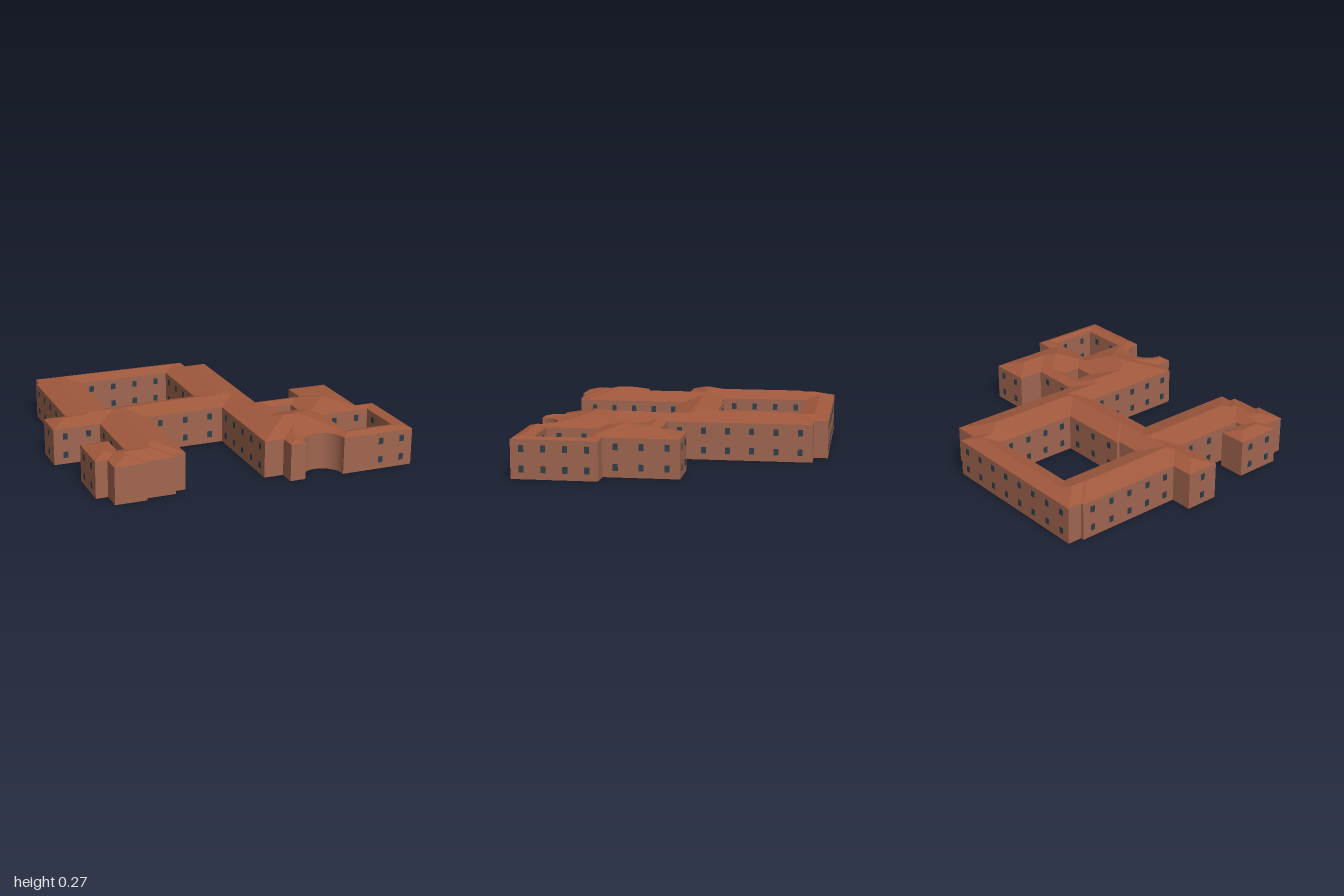
import * as THREE from 'three';
import { mergeGeometries, toCreasedNormals } from 'three/addons/utils/BufferGeometryUtils.js';

const EAVE = 0.21, PITCH = 0.3, TURN = -0.26;

// Footprint in the building's own square axes; walls run with the inside on the right.
const outline = [
  [-0.706, -0.846], [0.246, -0.846], [0.246, -0.767], [0.38, -0.767], [0.38, 0.035],
  [0.667, 0.035], [0.667, -0.113], [0.903, -0.113], [0.903, 0.296], [1.014, 0.296],
  [1.014, 0.758], [0.756, 0.758], [0.593, 0.758], [0.593, 0.748], [0.367, 0.748],
  [0.279, 0.748], [0.279, 0.65], [0.167, 0.65], [0.167, 0.045], [-0.293, 0.045],
  [-0.293, 0.647], [-0.363, 0.647], [-0.363, 0.686], [-0.533, 0.686], [-0.533, 0.711],
  [-0.711, 0.711], [-0.711, 0.594], [-0.779, 0.594], [-0.779, 0.331], [-0.621, 0.331],
  [-0.621, 0.48], [-0.58, 0.48], [-0.58, 0.056], [-0.851, 0.056], [-0.851, -0.137],
  [-0.725, -0.137], [-0.725, -0.764], [-0.706, -0.764],
];
const courtyards = [
  [[-0.467, -0.683], [-0.467, -0.182], [-0.33, -0.182], [-0.33, -0.198], [0.087, -0.198], [0.087, -0.683]],
  [[0.441, 0.146], [0.441, 0.242], [0.558, 0.242], [0.558, 0.146]],
  [[0.656, 0.375], [0.656, 0.654], [0.939, 0.654], [0.939, 0.375]],
];
// Round bay cut into the front, replacing one wall of the outline
const bay = { edge: 13, x: 0.48, z: 0.748, r: 0.113 };
const bayDir = (t) => [Math.cos(Math.PI * t), -Math.sin(Math.PI * t)];
const bayPoint = (t) => bayDir(t).map((c, k) => (k ? bay.z : bay.x) + bay.r * c);

// Walls of a loop, with direction, inward normal and length
function wallsOf(loop) {
  return loop.map((a, i) => {
    const b = loop[(i + 1) % loop.length];
    const len = Math.hypot(b[0] - a[0], b[1] - a[1]);
    const d = [(b[0] - a[0]) / len, (b[1] - a[1]) / len];
    return { a, b, d, n: [-d[1], d[0]], len, round: loop === outline && i === bay.edge };
  });
}

const loops = [outline, ...courtyards].map(wallsOf);
const allWalls = loops.flat();

// Square-metric distance to the straight walls, round distance to the bay
function wallDistance(x, z) {
  let best = Math.hypot(x - bay.x, z - bay.z) - bay.r;
  for (const { a, b, len, round } of allWalls) {
    if (round || len < 0.012) continue;
    const dx = Math.max(Math.min(a[0], b[0]) - x, x - Math.max(a[0], b[0]), 0);
    const dz = Math.max(Math.min(a[1], b[1]) - z, z - Math.max(a[1], b[1]), 0);
    best = Math.min(best, Math.max(dx, dz));
  }
  return best;
}

// Rafter from an eave point up to the ridge, hip or valley where it meets another slope
function rafter(p, dir) {
  let lo = 0, hi = 0.5;
  for (let k = 0; k < 24; k++) {
    const t = (lo + hi) / 2;
    if (wallDistance(p[0] + dir[0] * t, p[1] + dir[1] * t) >= t - 1e-6) lo = t;
    else hi = t;
  }
  return {
    foot: [p[0], EAVE, p[1]],
    top: [p[0] + dir[0] * lo, EAVE + PITCH * lo, p[1] + dir[1] * lo],
  };
}

// Hipped roof: strips of rafters round every loop, fanned at the inner corners
function roofGeometry() {
  const pos = [];
  for (const walls of loops) {
    const rafters = [];
    walls.forEach((w, i) => {
      const steps = w.round ? 60 : Math.max(4, Math.ceil(w.len / 0.004));
      for (let s = 0; s <= steps; s++) {
        const t = s / steps;
        rafters.push(w.round ? rafter(bayPoint(t), bayDir(t))
          : rafter(w.a.map((c, k) => c + (w.b[k] - c) * t), w.n));
      }
      const next = walls[(i + 1) % walls.length];
      const turn = w.d[0] * next.d[1] - w.d[1] * next.d[0];
      if (w.round || next.round || turn > -0.5) return;
      for (let s = 1; s < 48; s++) {
        const p = Math.min(1, (48 - s) / 24), q = Math.min(1, s / 24);
        rafters.push(rafter(w.b, [w.n[0] * p + next.n[0] * q, w.n[1] * p + next.n[1] * q]));
      }
    });
    rafters.forEach((r, i) => {
      const s = rafters[(i + 1) % rafters.length];
      pos.push(...r.foot, ...r.top, ...s.foot, ...s.foot, ...r.top, ...s.top);
    });
  }
  const geo = new THREE.BufferGeometry();
  geo.setAttribute('position', new THREE.Float32BufferAttribute(pos, 3));
  geo.computeVertexNormals();
  return geo;
}

// Outer and courtyard walls with the floor
function wallGeometry() {
  const toVec = (p) => new THREE.Vector2(p[0], p[1]);
  const points = outline.flatMap((p, i) => (i === bay.edge
    ? Array.from({ length: 24 }, (_, k) => bayPoint(k / 24)) : [p]));
  const shape = new THREE.Shape(points.map(toVec));
  shape.holes = courtyards.map((c) => new THREE.Path(c.map(toVec)));
  const geo = new THREE.ExtrudeGeometry(shape, { depth: EAVE, bevelEnabled: false });
  geo.rotateX(Math.PI / 2).translate(0, EAVE, 0);
  return toCreasedNormals(geo, 0.5);
}

// Two rows of panes along each long straight wall
function windowGeometry() {
  const panes = [];
  for (const w of allWalls) {
    if (w.round || w.len < 0.18) continue;
    const count = Math.max(1, Math.floor(w.len / 0.115));
    for (let i = 0; i < count; i++) {
      const s = (w.len * (i + 0.5)) / count;
      for (const y of [0.054, 0.163]) {
        const pane = new THREE.BoxGeometry(0.027, 0.036, 0.004);
        if (Math.abs(w.d[1]) > 0.5) pane.rotateY(Math.PI / 2);
        panes.push(pane.translate(w.a[0] + w.d[0] * s, y, w.a[1] + w.d[1] * s));
      }
    }
  }
  return mergeGeometries(panes);
}

export function createModel() {
  const group = new THREE.Group();
  group.name = 'building';
  const add = (name, geometry, color, side = THREE.FrontSide) => {
    const mesh = new THREE.Mesh(geometry, new THREE.MeshStandardMaterial({ color, side }));
    mesh.name = name;
    mesh.rotation.y = TURN;
    group.add(mesh);
  };
  add('walls', wallGeometry(), 0xa0654f);
  add('roof', roofGeometry(), 0xa0583c, THREE.DoubleSide);
  add('windows', windowGeometry(), 0x2f3d47);
  return group;
}
